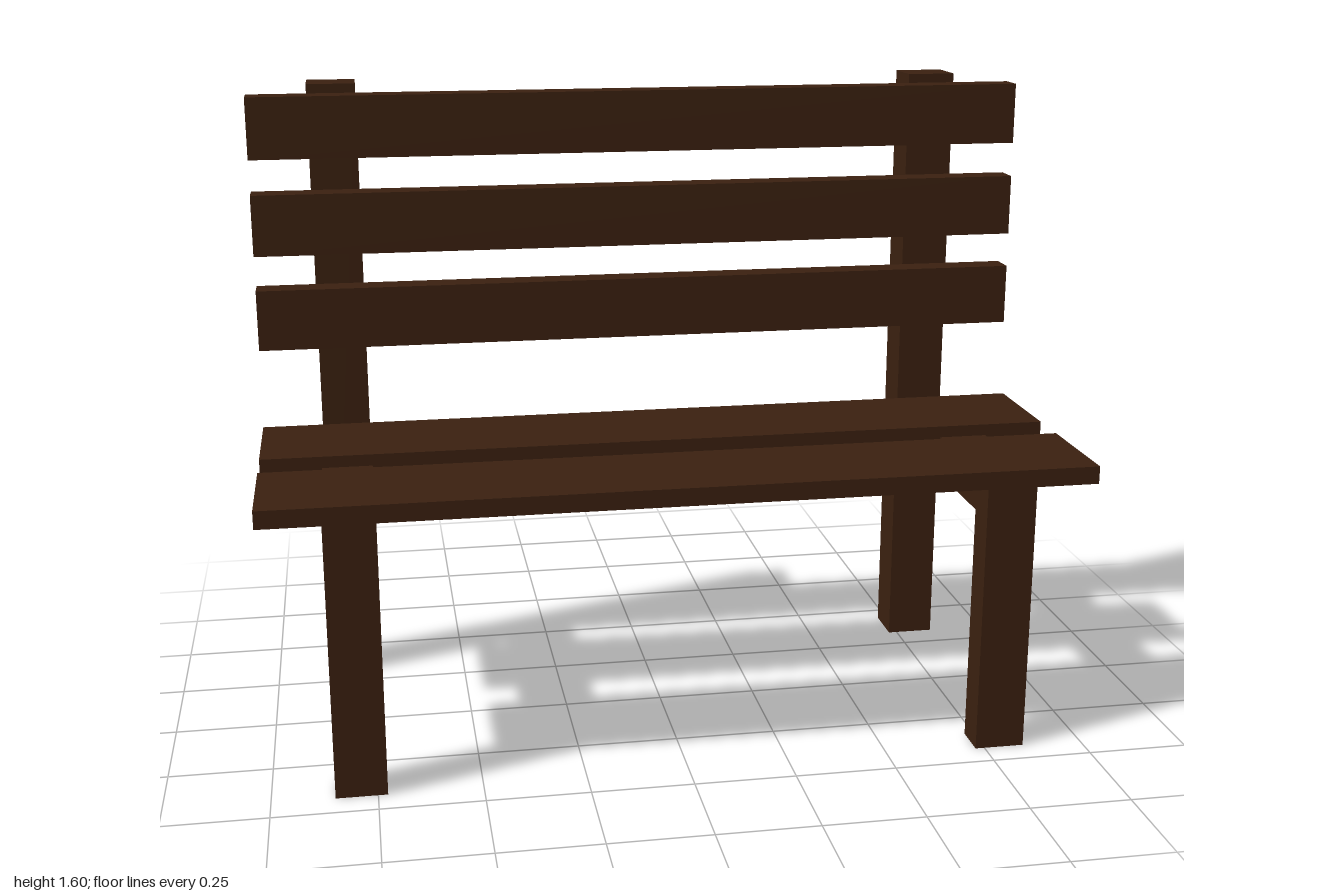
import * as THREE from 'three';

const wood = new THREE.MeshStandardMaterial({ color: 0x3a2010 });

// Box given by its extents along each axis
function board(name, [x0, x1], [y0, y1], [z0, z1]) {
  const mesh = new THREE.Mesh(new THREE.BoxGeometry(x1 - x0, y1 - y0, z1 - z0), wood);
  mesh.position.set((x0 + x1) / 2, (y0 + y1) / 2, (z0 + z1) / 2);
  mesh.name = name;
  return mesh;
}

export function createModel() {
  const bench = new THREE.Group();
  bench.name = 'bench';

  // Side frames: tall back post, front leg and the seat rail joining them
  for (const [side, x] of [['left', [0.727, 0.85]], ['right', [-0.85, -0.727]]]) {
    const frame = new THREE.Group();
    frame.name = side + 'Frame';
    frame.add(
      board('backPost', x, [0, 1.595], [-0.444, -0.329]),
      board('frontLeg', x, [0, 0.602], [0.345, 0.43]),
      board('seatRail', x, [0.602, 0.7], [-0.329, 0.43])
    );
    bench.add(frame);
  }

  // Seat planks
  for (const z of [0.158, -0.236]) {
    bench.add(board('seatPlank', [-1, 1], [0.685, 0.729], [z, z + 0.287]));
  }

  // Backrest slats
  for (let i = 0; i < 3; i++) {
    const y = 0.926 + i * 0.245;
    bench.add(board('backSlat', [-1, 1], [y, y + 0.156], [-0.329, -0.259]));
  }

  return bench;
}
